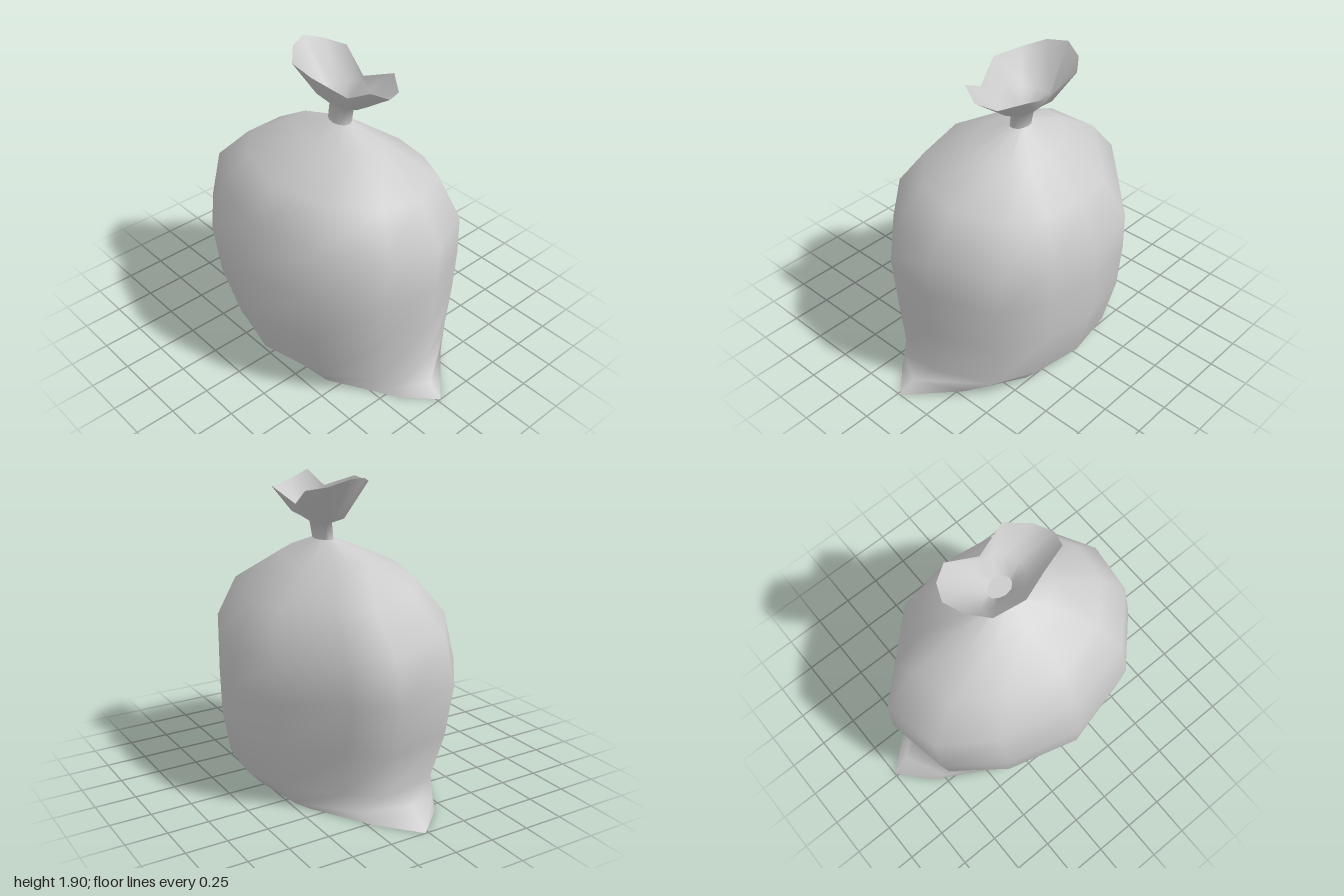
import * as THREE from 'three';

// Plan outline of the sack, 12 points [x, z], starting at +x and turning towards +z
const PLAN = [[.68, 0], [.63, .34], [.49, .64], [.1, .82], [-.26, .76], [-.56, .47],
  [-.68, 0], [-.55, -.47], [-.31, -.79], [.09, -.86], [.3, -.66], [.61, -.36]];
const N = PLAN.length;

// Fit the plan outline into the given extents, tilted from height y0 at x0 to y1 at x1
function ring([x0, y0], [x1, y1], z0, z1) {
  return PLAN.map(([x, z]) => [
    THREE.MathUtils.mapLinear(x, -.68, .68, x0, x1),
    THREE.MathUtils.mapLinear(x, -.68, .68, y0, y1),
    THREE.MathUtils.mapLinear(z, -.86, .82, z0, z1)]);
}

// Smooth skin through a stack of rings, bottom to top
function loft(rings) {
  const index = [];
  for (let r = 0; r < rings.length - 1; r++) {
    for (let i = 0; i < N; i++) {
      const j = (i + 1) % N, a = r * N, b = a + N;
      index.push(a + i, b + i, a + j, b + i, b + j, a + j);
    }
  }
  return build(rings.flat(), index);
}

// Upward-facing disc filling one ring
function disc(points) {
  const index = [];
  for (let i = 1; i < N - 1; i++) index.push(0, i + 1, i);
  return build(points, index);
}

function build(points, index) {
  const g = new THREE.BufferGeometry();
  g.setAttribute('position', new THREE.Float32BufferAttribute(points.flat(), 3));
  g.setIndex(index);
  g.computeVertexNormals();
  return g;
}

export function createModel() {
  const group = new THREE.Group();
  const material = new THREE.MeshStandardMaterial({ color: 0xcccccc, side: THREE.DoubleSide });
  const add = (name, geometry) => {
    const mesh = new THREE.Mesh(geometry, material);
    mesh.name = name;
    group.add(mesh);
  };

  // Open footprint drawn out to a pointed corner at front and back
  const base = [[.47, 0], [.42, .42], [.17, .83], [.02, 1], [-.15, .83], [-.39, .42],
    [-.44, 0], [-.4, -.42], [-.18, -.82], [.02, -1], [.22, -.77], [.43, -.42]]
    .map(([x, z]) => [x, 0, z]);

  // Rounded lower edge, with the two corners folded upwards
  const lower = ring([-.57, .14], [.61, .1], -.73, .79);
  const fold = base.map(([x, , z], i) => {
    const fx = (x + lower[i][0]) / 2;
    return [fx, .045 - .05 * fx, (z + lower[i][2]) / 2];
  });
  fold[3] = [.03, .06, .9];
  fold[9] = [.03, .12, -.88];

  // Bulging sack, leaning slightly to one side
  const neckBase = ring([.03, 1.5], [.14, 1.5], -.08, .08);
  add('sackBody', loft([
    base, fold, lower,
    ring([-.65, .44], [.67, .39], -.81, .80),
    ring([-.68, .78], [.68, .67], -.86, .82),
    ring([-.60, 1.09], [.68, .9], -.84, .80),
    ring([-.44, 1.29], [.57, 1.18], -.62, .63),
    ring([-.14, 1.43], [.30, 1.38], -.34, .34),
    neckBase,
  ]));

  // Tied neck opening into a flared, uneven mouth
  const neckTop = ring([.04, 1.6], [.16, 1.6], -.08, .08);
  const flare = ring([-.03, 1.69], [.26, 1.69], -.19, .18)
    .map(([x, y, z]) => [x, y - .28 * Math.abs(z), z]);
  const rim = [[.27, 1.72, 0], [.32, 1.8, .2], [.22, 1.77, .34], [.1, 1.79, .39],
    [-.01, 1.85, .35], [-.04, 1.77, .2], [-.13, 1.85, 0], [-.1, 1.85, -.2],
    [0, 1.89, -.31], [.12, 1.9, -.36], [.24, 1.86, -.31], [.32, 1.83, -.2]];
  add('gatheredTop', loft([neckBase, neckTop, flare, rim]));

  // Pinched-shut floor of the mouth
  add('mouthFloor', disc(neckTop));

  return group;
}
